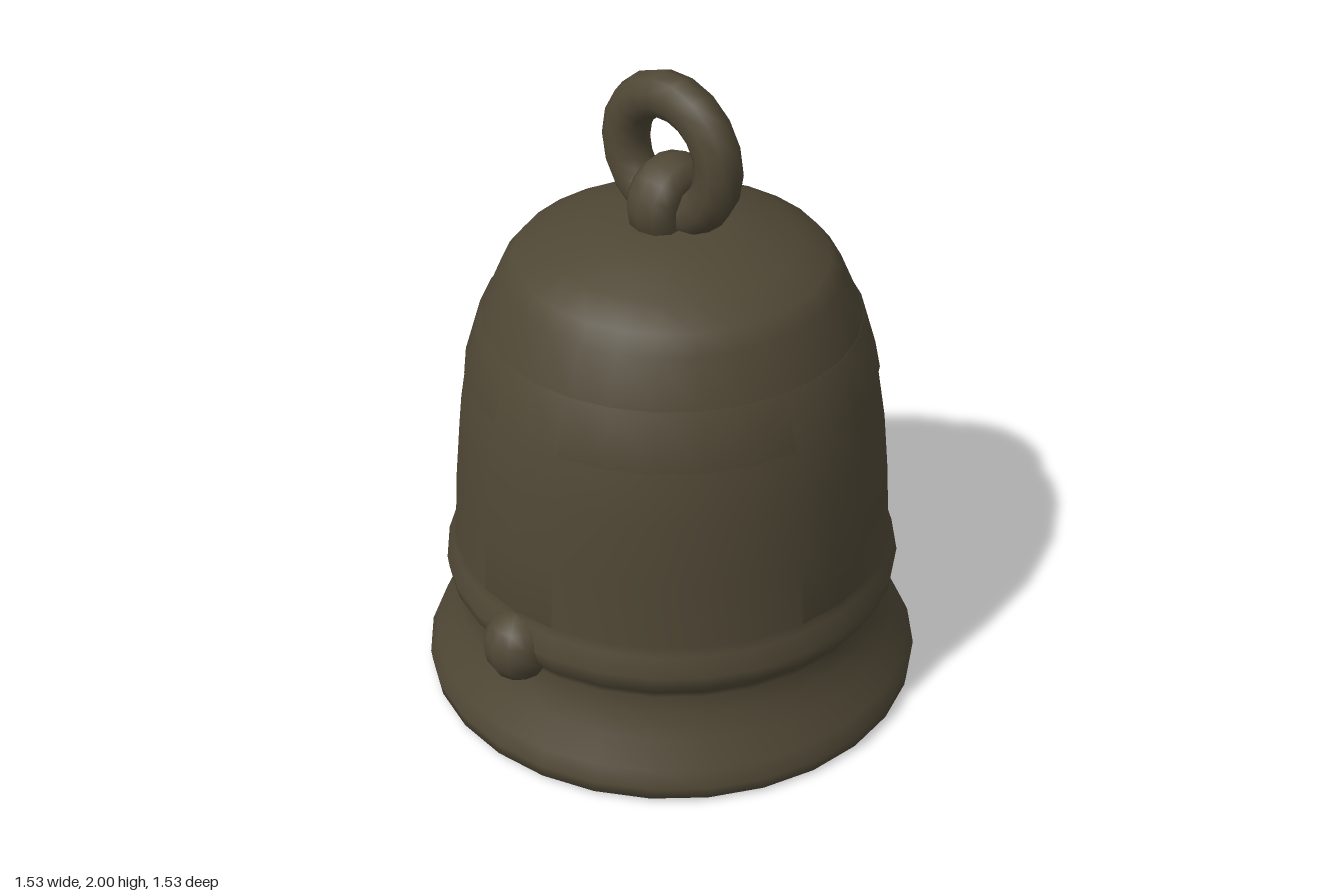
import * as THREE from 'three';

export function createModel() {
  const bell = new THREE.Group();
  bell.name = 'bell';
  const bronze = new THREE.MeshStandardMaterial({ color: 0x4f4735 });
  bronze.name = 'agedBronze';

  const add = (name, geometry, position = [0, 0, 0], scale = [1, 1, 1]) => {
    const mesh = new THREE.Mesh(geometry, bronze);
    mesh.name = name;
    mesh.position.set(...position);
    mesh.scale.set(...scale);
    bell.add(mesh);
    return mesh;
  };
  const points = (list) => list.map(([r, y]) => new THREE.Vector2(r, y));

  // Outer wall from waist to shoulder, shared by the body and its raised bands
  const wall = [[0.665, 0.5], [0.655, 0.7], [0.637, 0.9], [0.61, 1.07], [0.56, 1.24], [0.5, 1.38]];

  // Hollow body: down the inside, round the lip, up the outside
  const profile = [
    [0, 1.46], [0.25, 1.43], [0.4, 1.36], [0.47, 1.24], [0.53, 1.05], [0.57, 0.7],
    [0.59, 0.35], [0.63, 0.16], [0.68, 0.04], [0.7, 0.005], [0.73, 0], [0.758, 0.012],
    [0.763, 0.05], [0.74, 0.1], [0.695, 0.18], [0.668, 0.25], [0.655, 0.31], [0.665, 0.335],
    [0.69, 0.37], [0.695, 0.41], [0.675, 0.47],
    ...wall, [0.46, 1.43], [0.37, 1.48], [0.25, 1.525], [0.15, 1.55], [0, 1.56],
  ];
  add('body', new THREE.LatheGeometry(points(profile), 28));

  // Shallow raised bands: four uprights and a hoop under the shoulder
  const raise = (list) => {
    const first = list[0], last = list[list.length - 1];
    return points([[first[0] - 0.02, first[1]], ...list.map(([r, y]) => [r + 0.006, y]), [last[0] - 0.02, last[1]]]);
  };
  const upright = raise(wall.slice(0, 5));
  for (let i = 0; i < 4; i++) {
    const angle = i * Math.PI / 2;
    add('uprightBand', new THREE.LatheGeometry(upright, 2, angle - 0.21, 0.42));
  }
  add('shoulderHoop', new THREE.LatheGeometry(raise(wall.slice(3, 5)), 28));

  // Rounded striking bosses, front and back
  for (const side of [1, -1]) {
    add('strikingBoss', new THREE.SphereGeometry(1, 12, 8), [0, 0.375, 0.66 * side], [0.105, 0.115, 0.105]);
  }

  // Hanging ring linked through a small crown loop
  add('hangingRing', new THREE.TorusGeometry(0.18, 0.07, 10, 18), [0, 1.75, 0]);
  const loop = add('crownLoop', new THREE.TorusGeometry(0.083, 0.062, 10, 16), [0, 1.602, 0], [1, 1, 1.35]);
  loop.rotation.y = Math.PI / 2;

  // Clapper hanging inside
  const clapper = [
    [0, 0.05], [0.07, 0.07], [0.12, 0.125], [0.135, 0.19], [0.12, 0.26],
    [0.085, 0.36], [0.065, 0.46], [0.045, 0.7], [0.04, 1.48],
  ];
  add('clapper', new THREE.LatheGeometry(points(clapper), 14));

  return bell;
}
